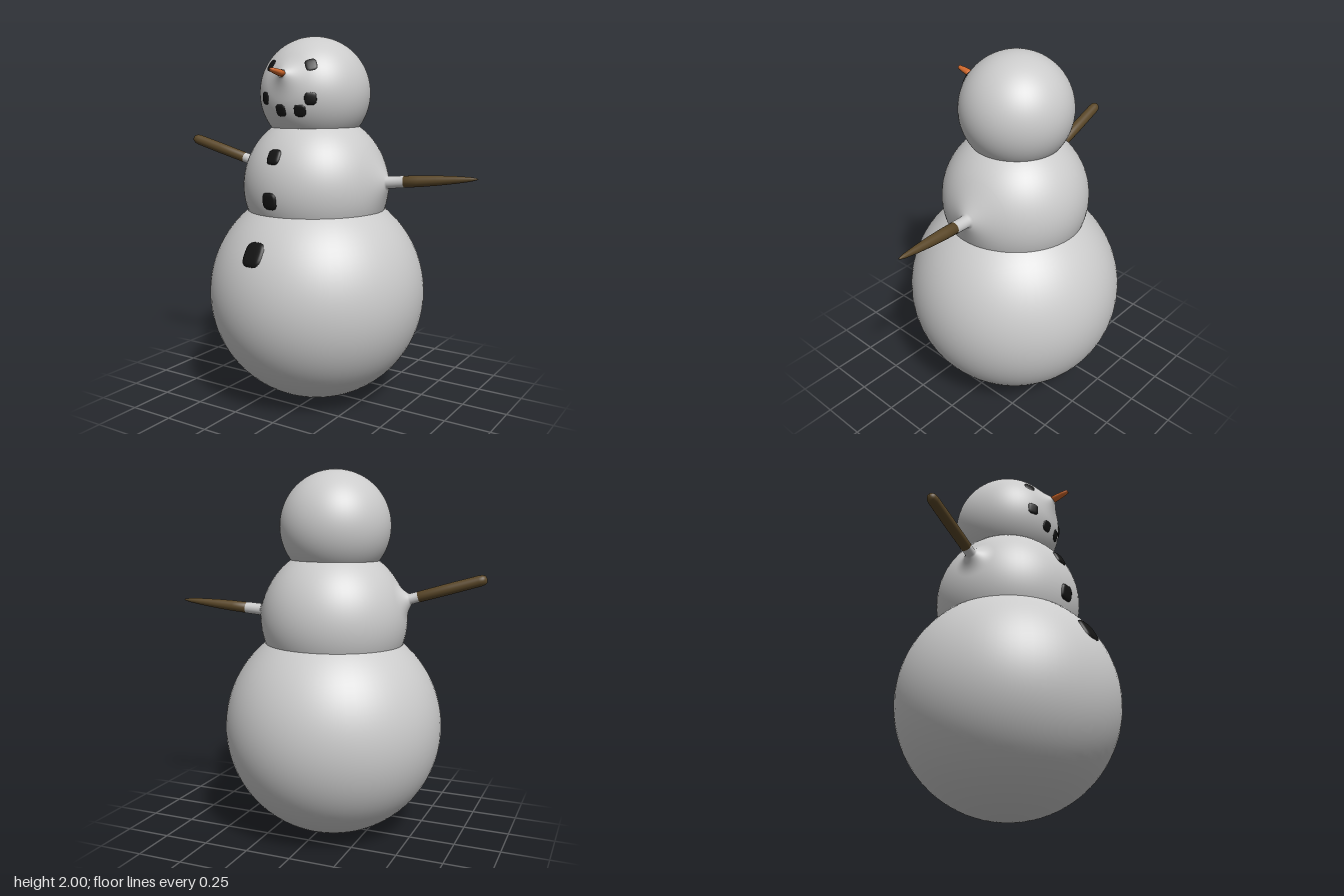
import * as THREE from 'three';

const V = (x, y, z) => new THREE.Vector3(x, y, z);
const mat = (color) => new THREE.MeshStandardMaterial({ color, side: THREE.DoubleSide });
const snow = mat(0xcccccc), wood = mat(0x5a4728), coal = mat(0x141414), carrot = mat(0xd0682c);

const BASE = { c: V(-0.045, 0.605, 0), r: 0.6 };
const TORSO = { c: V(-0.05, 1.2, 0), r: 0.4 };
const HEAD = { c: V(-0.055, 1.7, 0), r: 0.3 };

export function createModel() {
  const model = new THREE.Group();

  const add = (name, geometry, material) => {
    const mesh = new THREE.Mesh(geometry, material);
    mesh.name = name;
    model.add(mesh);
    return mesh;
  };

  const ball = (name, s) =>
    add(name, new THREE.SphereGeometry(s.r, 64, 48), snow).position.copy(s.c);

  // Revolved part whose axis starts at origin and points along dir; profile is [radius, distance]
  const revolved = (name, profile, material, origin, dir) => {
    const pts = profile.map(([r, d]) => new THREE.Vector2(r, d));
    const mesh = add(name, new THREE.LatheGeometry(pts, 32), material);
    mesh.position.copy(origin);
    mesh.quaternion.setFromUnitVectors(V(0, 1, 0), dir.clone().normalize());
    return mesh;
  };

  // Snow drawn out smoothly from a ball into a short collar
  const flare = (name, s, dir, outer, inner, lift, end) => {
    const profile = [];
    for (let i = 0; i <= 14; i++) {
      const t = i / 14, r = outer + (inner - outer) * t;
      profile.push([r, Math.sqrt(s.r * s.r - r * r) + lift * t ** 2.5 + 0.0005]);
    }
    profile.push([inner * 0.97, end]);
    revolved(name, profile, snow, s.c, dir);
  };

  // Rounded-square lump of coal that hugs a ball, centred at front position (x, y)
  const lump = (name, s, x, y, w, h, bulge, tilt = 0) => {
    const dx = x - s.c.x, dy = y - s.c.y;
    const n = V(dx, dy, Math.sqrt(s.r * s.r - dx * dx - dy * dy)).normalize();
    const right = V(0, 1, 0).cross(n).normalize();
    const up = n.clone().cross(right);
    const rings = 7, sides = 32, pos = [], index = [];
    for (let i = 0; i <= rings; i++) {
      const rho = i / rings;
      for (let j = 0; j < sides; j++) {
        const a = (j / sides) * Math.PI * 2, c = Math.cos(a), d = Math.sin(a);
        const u0 = Math.sign(c) * Math.abs(c) ** 0.6 * w * rho;
        const v0 = Math.sign(d) * Math.abs(d) ** 0.6 * h * rho;
        const u = u0 * Math.cos(tilt) - v0 * Math.sin(tilt);
        const v = u0 * Math.sin(tilt) + v0 * Math.cos(tilt);
        const p = n.clone().multiplyScalar(s.r).addScaledVector(right, u).addScaledVector(up, v);
        p.setLength(s.r - 0.002 + bulge * Math.sqrt(1 - rho ** 4)).add(s.c);
        pos.push(p.x, p.y, p.z);
        if (i < rings) {
          const k = (j + 1) % sides, q = i * sides;
          index.push(q + j, q + sides + j, q + sides + k, q + j, q + sides + k, q + k);
        }
      }
    }
    const g = new THREE.BufferGeometry();
    g.setAttribute('position', new THREE.Float32BufferAttribute(pos, 3));
    g.setIndex(index);
    g.computeVertexNormals();
    add(name, g, coal);
  };

  // Body
  ball('base', BASE);
  ball('torso', TORSO);
  ball('head', HEAD);

  // Left arm: tapers to a point
  const leftDir = V(0.905, 0.08, -0.09);
  flare('leftShoulder', TORSO, leftDir, 0.2, 0.033, 0.028, 0.52);
  revolved('leftArm', [[0, 0.513], [0.031, 0.513], [0.03, 0.6], [0.026, 0.7], [0.019, 0.8],
    [0.012, 0.87], [0.005, 0.905], [0, 0.912]], wood, TORSO.c, leftDir);

  // Right arm: even thickness with a rounded end
  const rightDir = V(-0.81, 0.235, 0.075);
  flare('rightShoulder', TORSO, rightDir, 0.12, 0.029, 0.038, 0.487);
  revolved('rightArm', [[0, 0.482], [0.029, 0.482], [0.03, 0.65], [0.029, 0.81], [0.026, 0.832],
    [0.018, 0.845], [0, 0.85]], wood, TORSO.c, rightDir);

  // Nose
  flare('noseBase', HEAD, V(0, 0.1, 0.31), 0.13, 0.022, 0.028, 0.332);
  const nose = revolved('nose', [[0, 0], [0.022, 0], [0.021, 0.03], [0.017, 0.07], [0.012, 0.098],
    [0, 0.104]], carrot, V(-0.055, 1.8, 0.31), V(0, 0.02, 0.1));
  nose.scale.z = 0.8;

  // Eyes, mouth and buttons
  for (const [name, side] of [['leftEye', 1], ['rightEye', -1]])
    lump(name, HEAD, HEAD.c.x + side * 0.124, 1.845, 0.034, 0.036, 0.006, side * 0.25);
  [[-0.195, 1.675], [-0.084, 1.613], [0.028, 1.613], [0.086, 1.675]].forEach(([x, y], i) =>
    lump(`mouth${i + 1}`, HEAD, x, y, 0.034, 0.034, 0.007));
  [[TORSO, -0.08, 1.38, 0.042, 0.044], [TORSO, -0.084, 1.153, 0.047, 0.047],
    [BASE, -0.097, 0.897, 0.063, 0.07]].forEach(([s, x, y, w, h], i) =>
    lump(`button${i + 1}`, s, x, y, w, h, 0.012));

  return model;
}
